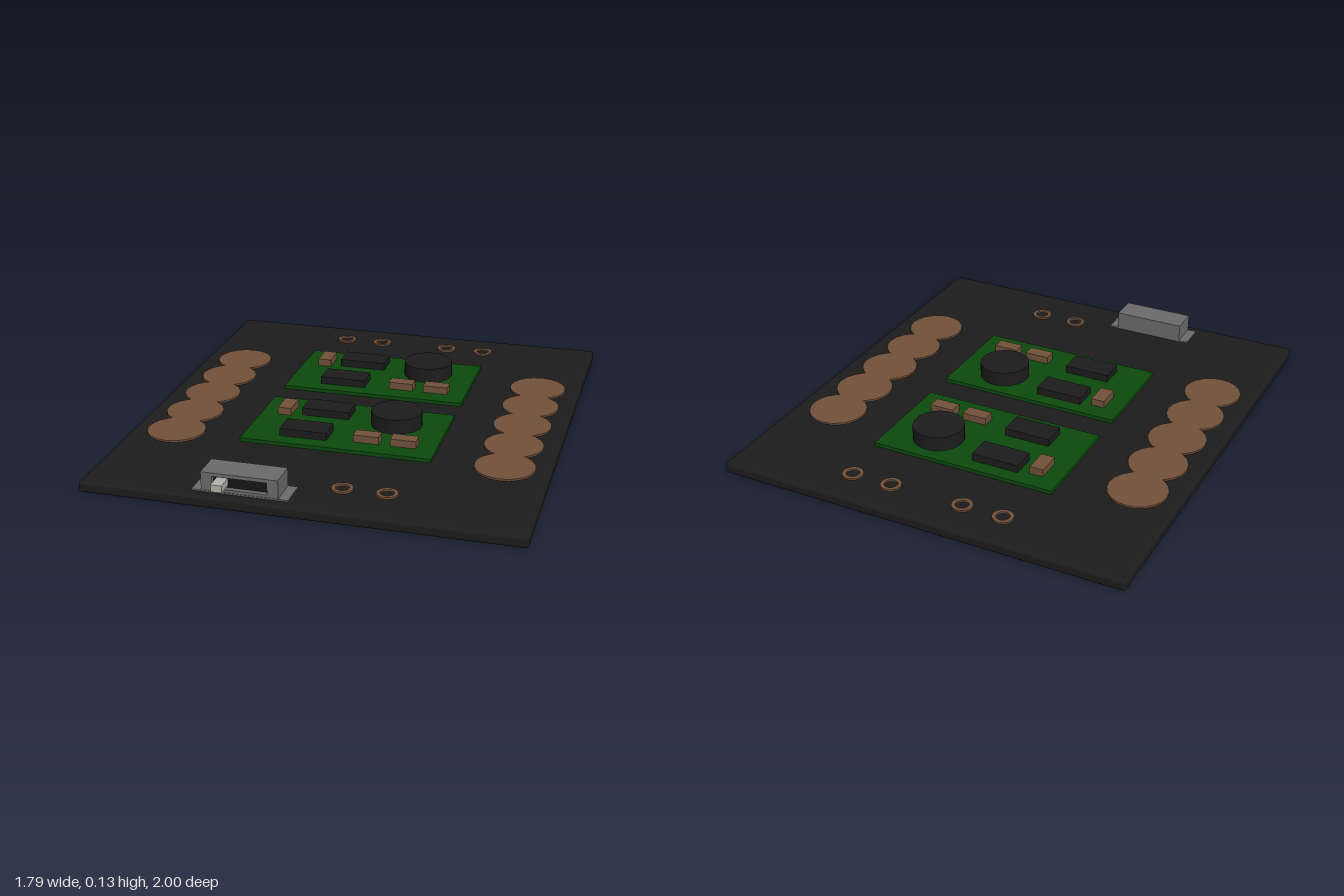
import * as THREE from 'three';
import { RoundedBoxGeometry } from 'three/addons/geometries/RoundedBoxGeometry.js';

const mat = (color) => new THREE.MeshStandardMaterial({ color });

export function createModel() {
  const model = new THREE.Group();
  const black = mat(0x1c1c1c), green = mat(0x0b4a0d), copper = mat(0x70503a);
  const steel = mat(0x6a6a6a), pale = mat(0xb0b0a8), dark = mat(0x161616);
  const TOP = 0.047; // upper face of the base board

  const add = (parent, name, geometry, material, x, y, z) => {
    const mesh = new THREE.Mesh(geometry, material);
    mesh.name = name;
    mesh.position.set(x, y, z);
    parent.add(mesh);
    return mesh;
  };
  // Box given by its centre in x/z and its bottom and top heights
  const box = (parent, name, material, x, z, w, d, y0, y1) =>
    add(parent, name, new THREE.BoxGeometry(w, y1 - y0, d), material, x, (y0 + y1) / 2, z);

  // Base board with softened edges
  add(model, 'baseBoard', new RoundedBoxGeometry(1.79, TOP, 2, 3, 0.013), black, 0, TOP / 2, 0);

  // Overlapping round contact pads along both sides
  const padGeometry = new THREE.CylinderGeometry(0.125, 0.125, 0.012, 20);
  for (const side of [-1, 1]) {
    for (let i = -2; i <= 2; i++) {
      add(model, 'contactPad', padGeometry, copper, side * 0.707, 0.049, i * 0.216);
    }
  }

  // Flat solder rings
  const ringShape = new THREE.Shape().absarc(0, 0, 0.044, 0, Math.PI * 2);
  ringShape.holes.push(new THREE.Path().absarc(0, 0, 0.028, 0, Math.PI * 2, true));
  const ringGeometry = new THREE.ExtrudeGeometry(ringShape, { depth: 0.01, bevelEnabled: false, curveSegments: 20 });
  ringGeometry.rotateX(-Math.PI / 2);
  const rings = [[-0.31, -0.835], [-0.13, -0.835], [0.195, -0.835], [0.375, -0.835], [0.13, 0.79], [0.31, 0.79]];
  for (const [x, z] of rings) add(model, 'solderRing', ringGeometry, copper, x, 0.045, z);

  // Two identical circuit modules
  for (const z of [-0.375, 0.232]) {
    const unit = new THREE.Group();
    unit.name = 'circuitModule';
    unit.position.z = z;
    model.add(unit);
    box(unit, 'circuitBoard', green, 0, 0, 0.82, 0.47, 0.044, 0.063);
    add(unit, 'inductor', new THREE.CylinderGeometry(0.11, 0.11, 0.065, 24), black, 0.19, 0.0945, -0.077);
    box(unit, 'chip', black, -0.125, -0.12, 0.21, 0.11, 0.062, 0.096);
    box(unit, 'chip', black, -0.154, 0.115, 0.205, 0.11, 0.062, 0.096);
    box(unit, 'capacitor', copper, -0.305, -0.102, 0.06, 0.108, 0.062, 0.095);
    for (const x of [0.114, 0.273]) box(unit, 'capacitor', copper, x, 0.123, 0.11, 0.058, 0.062, 0.095);
  }

  // Slide switch: mounting plate, slotted housing and lever
  const slide = new THREE.Group();
  slide.name = 'slideSwitch';
  model.add(slide);
  box(slide, 'switchPlate', steel, -0.237, 0.89, 0.395, 0.125, 0.044, 0.053);
  const rect = (path, x0, y0, x1, y1) =>
    path.moveTo(x0, y0).lineTo(x1, y0).lineTo(x1, y1).lineTo(x0, y1).closePath();
  const face = rect(new THREE.Shape(), -0.395, 0.05, -0.08, 0.13);
  face.holes.push(rect(new THREE.Path(), -0.35, 0.065, -0.125, 0.115));
  add(slide, 'switchHousing', new THREE.ExtrudeGeometry(face, { depth: 0.03, bevelEnabled: false }), steel, 0, 0, 0.92);
  box(slide, 'switchBack', steel, -0.2375, 0.8735, 0.315, 0.093, 0.05, 0.13);
  box(slide, 'switchSlot', dark, -0.2375, 0.924, 0.225, 0.01, 0.065, 0.115);
  box(slide, 'switchLever', pale, -0.313, 0.96, 0.045, 0.08, 0.075, 0.105);
  return model;
}
